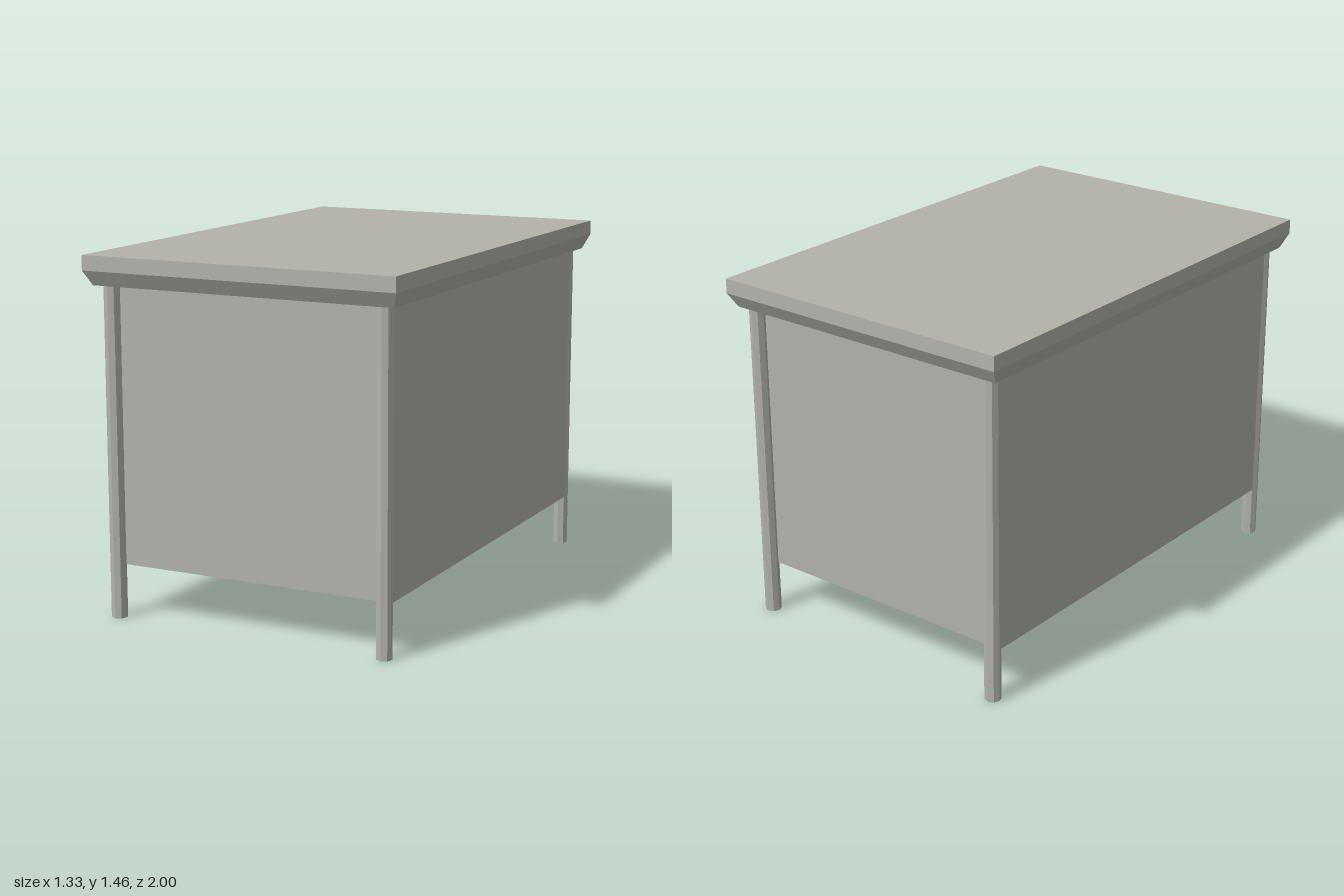
import * as THREE from 'three';

export function createModel() {
  const group = new THREE.Group();
  const grey = new THREE.MeshStandardMaterial({ color: 0xb2b2ab });
  grey.name = 'warmGrey';

  const add = (name, geometry, x, y, z) => {
    const mesh = new THREE.Mesh(geometry, grey);
    mesh.name = name;
    mesh.position.set(x, y, z);
    group.add(mesh);
  };

  // Straight upper edge of the table top
  add('topSlab', new THREE.BoxGeometry(1.334, 0.06, 2), 0, 1.425, 0);

  // Chamfered lower edge: a box whose bottom corners are drawn inwards
  const chamfer = new THREE.BoxGeometry(1.334, 0.06, 2).toNonIndexed();
  const p = chamfer.attributes.position;
  for (let i = 0; i < p.count; i++) {
    if (p.getY(i) < 0) {
      p.setX(i, p.getX(i) * 0.963);
      p.setZ(i, p.getZ(i) * 0.964);
    }
  }
  chamfer.computeVertexNormals();
  add('topChamfer', chamfer, 0, 1.365, 0);

  // Closed cabinet between the legs
  add('cabinet', new THREE.BoxGeometry(1.22, 1.12, 1.806), 0, 0.775, 0);

  // Four eight-sided legs with flat facets
  const legGeometry = new THREE.CylinderGeometry(0.033, 0.033, 1.335, 8).toNonIndexed();
  legGeometry.computeVertexNormals();
  for (const [side, x] of [['Left', 0.586], ['Right', -0.586]]) {
    for (const [end, z] of [['front', 0.918], ['back', -0.918]]) {
      add(end + side + 'Leg', legGeometry, x, 0.6675, z);
    }
  }
  return group;
}
